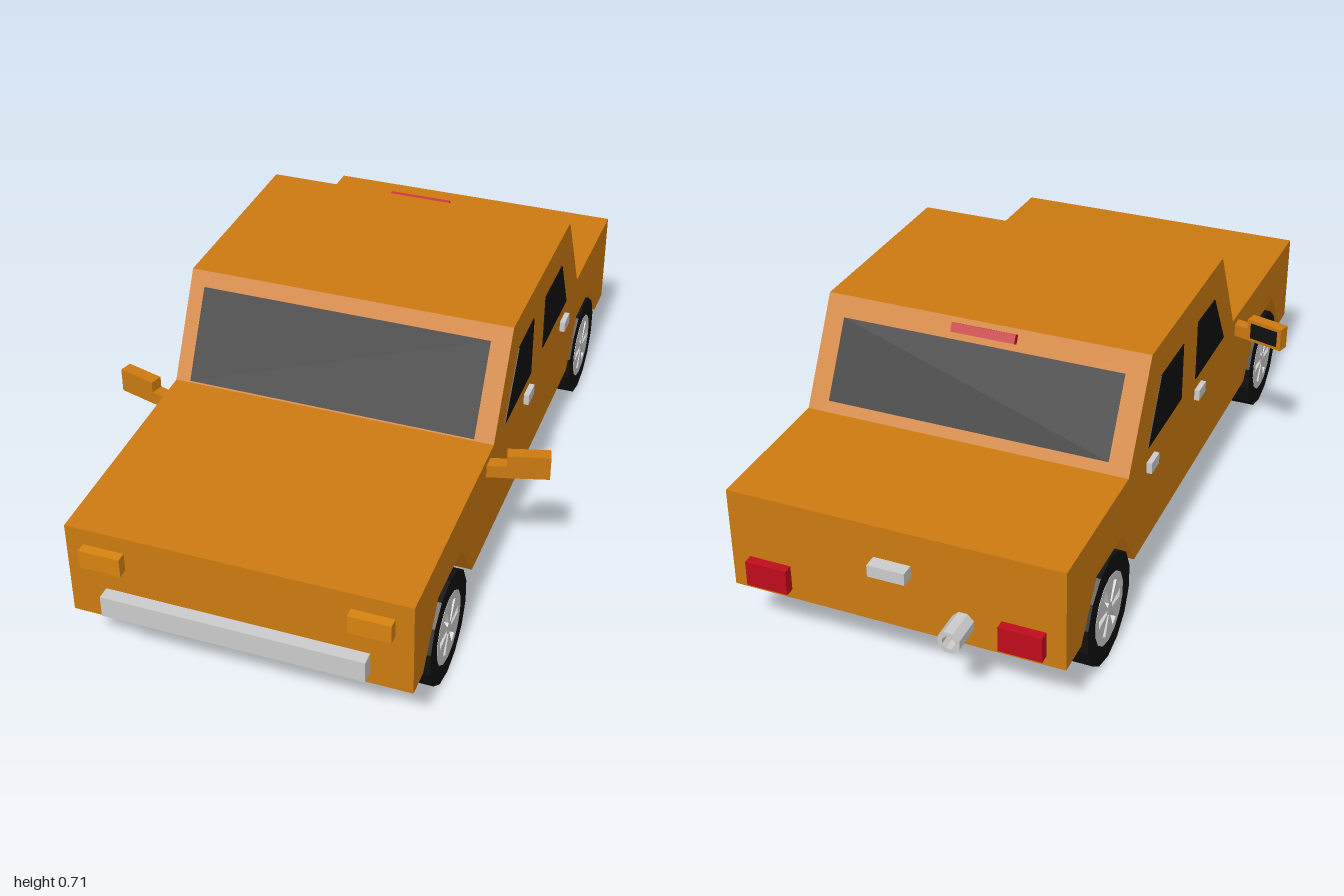
import * as THREE from 'three';

const mat = (color, side = THREE.FrontSide) =>
  new THREE.MeshStandardMaterial({ color, flatShading: true, side });
const paint = mat(0xcc7a10), lamp = mat(0xd88412), black = mat(0x101010);
const glass = mat(0x101010, THREE.DoubleSide), red = mat(0xc00c1c), metal = mat(0xcccccc);

const toShape = (pts) => new THREE.Shape(pts.map(([a, b]) => new THREE.Vector2(a, b)));

// Extrude a (z, y) outline along x, centred on x = 0
function extrudeX(shape, width) {
  const g = new THREE.ExtrudeGeometry(shape, { depth: width, bevelEnabled: false });
  return g.translate(0, 0, -width / 2).rotateY(-Math.PI / 2);
}

function add(parent, name, geometry, material, x = 0, y = 0, z = 0) {
  const m = new THREE.Mesh(geometry, material);
  m.name = name;
  m.position.set(x, y, z);
  parent.add(m);
  return m;
}

const box = (parent, name, material, size, pos) =>
  add(parent, name, new THREE.BoxGeometry(...size), material, ...pos);

const polygon = (r, n, turn = 0) => Array.from({ length: n }, (_, i) => {
  const a = turn + (i / n) * Math.PI * 2;
  return [Math.cos(a) * r, Math.sin(a) * r];
});

// Tyre ring with a rim pierced by six radial slots
function makeWheel() {
  const wheel = new THREE.Group();
  const tyre = toShape(polygon(0.146, 14, Math.PI / 14));
  tyre.holes.push(toShape(polygon(0.094, 14, Math.PI / 14)));
  add(wheel, 'tyre', extrudeX(tyre, 0.122), black);

  const rim = toShape(polygon(0.095, 14, Math.PI / 14));
  for (let i = 0; i < 6; i++) {
    const a = (i * Math.PI) / 3, c = Math.cos(a), s = Math.sin(a);
    const slot = [[0.016, -0.006], [0.072, -0.012], [0.072, 0.012], [0.016, 0.006]];
    rim.holes.push(toShape(slot.map(([u, v]) => [u * c - v * s, u * s + v * c])));
  }
  add(wheel, 'rim', extrudeX(rim, 0.124), metal);
  return wheel;
}

// Flat pane laid on a sloping screen between two (z, y) ends
function pane(parent, name, x0, x1, [z0, y0], [z1, y1]) {
  const g = new THREE.PlaneGeometry(x1 - x0, Math.hypot(z1 - z0, y1 - y0));
  const m = add(parent, name, g, glass, (x0 + x1) / 2, (y0 + y1) / 2, (z0 + z1) / 2);
  m.rotation.x = Math.atan2(z1 - z0, y1 - y0);
}

export function createModel() {
  const car = new THREE.Group();
  car.name = 'car';

  // Body with full-width wheel arches
  const profile = [
    [0.955, 0.17], [0.955, 0.428], [0.337, 0.447], [0.195, 0.707], [-0.374, 0.707],
    [-0.522, 0.445], [-0.92, 0.44], [-0.92, 0.167], [-0.826, 0.167], [-0.73, 0.302],
    [-0.553, 0.302], [-0.463, 0.17], [0.495, 0.17], [0.6, 0.314], [0.778, 0.314], [0.885, 0.17],
  ];
  add(car, 'body', extrudeX(toShape(profile), 0.868), paint);

  // Windscreen and rear window
  pane(car, 'windscreen', -0.393, 0.383, [0.338, 0.453], [0.219, 0.672]);
  pane(car, 'rearWindow', -0.378, 0.38, [-0.51, 0.472], [-0.405, 0.66]);

  const sideWindows = {
    frontSideWindow: [[0.243, 0.446], [-0.008, 0.446], [-0.008, 0.616], [0.136, 0.612]],
    rearSideWindow: [[-0.128, 0.452], [-0.388, 0.452], [-0.302, 0.612], [-0.128, 0.612]],
  };

  for (const side of [-1, 1]) {
    const tag = side > 0 ? 'Left' : 'Right';

    for (const [name, pts] of Object.entries(sideWindows))
      add(car, name + tag, extrudeX(toShape(pts), 0.004), glass, side * 0.4345);
    for (const z of [0.021, -0.361])
      box(car, 'doorHandle' + tag, metal, [0.016, 0.03, 0.056], [side * 0.44, 0.397, z]);

    for (const [name, y, z] of [['frontWheel', 0.147, 0.692], ['rearWheel', 0.147, -0.644]]) {
      const wheel = makeWheel();
      wheel.name = name + tag;
      wheel.position.set(side * 0.375, y, z);
      car.add(wheel);
    }

    // Door mirror swept back on a short arm
    const mirror = new THREE.Group();
    mirror.name = 'mirror' + tag;
    mirror.position.set(side * 0.428, 0, 0.382);
    mirror.rotation.y = side * 0.28;
    box(mirror, 'mirrorArm', paint, [0.06, 0.035, 0.034], [side * 0.024, 0.408, 0]);
    box(mirror, 'mirrorHead', paint, [0.108, 0.066, 0.034], [side * 0.105, 0.423, 0]);
    box(mirror, 'mirrorGlass', black, [0.084, 0.046, 0.003], [side * 0.105, 0.423, -0.0175]);
    car.add(mirror);

    box(car, 'headlight' + tag, lamp, [0.106, 0.05, 0.03], [side * 0.336, 0.358, 0.966]);
    box(car, 'tailLight' + tag, red, [0.11, 0.068, 0.03], [side * 0.33, 0.227, -0.93]);
  }

  // Front bumper, boot handle and high brake light
  box(car, 'frontBumper', metal, [0.666, 0.058, 0.034], [0, 0.243, 0.983]);
  box(car, 'bumperMount', metal, [0.3, 0.03, 0.02], [0, 0.243, 0.96]);
  box(car, 'bootHandle', metal, [0.096, 0.032, 0.036], [0, 0.336, -0.937]);
  box(car, 'brakeLight', red, [0.172, 0.024, 0.02], [-0.004, 0.687, -0.393]).rotation.x = 0.51;

  // Open exhaust pipe
  const pipe = toShape(polygon(0.03, 8, Math.PI / 8));
  pipe.holes.push(toShape(polygon(0.018, 8, Math.PI / 8)));
  const pipeGeometry = new THREE.ExtrudeGeometry(pipe, { depth: 0.09, bevelEnabled: false });
  add(car, 'exhaust', pipeGeometry, metal, -0.178, 0.228, -1);

  return car;
}
